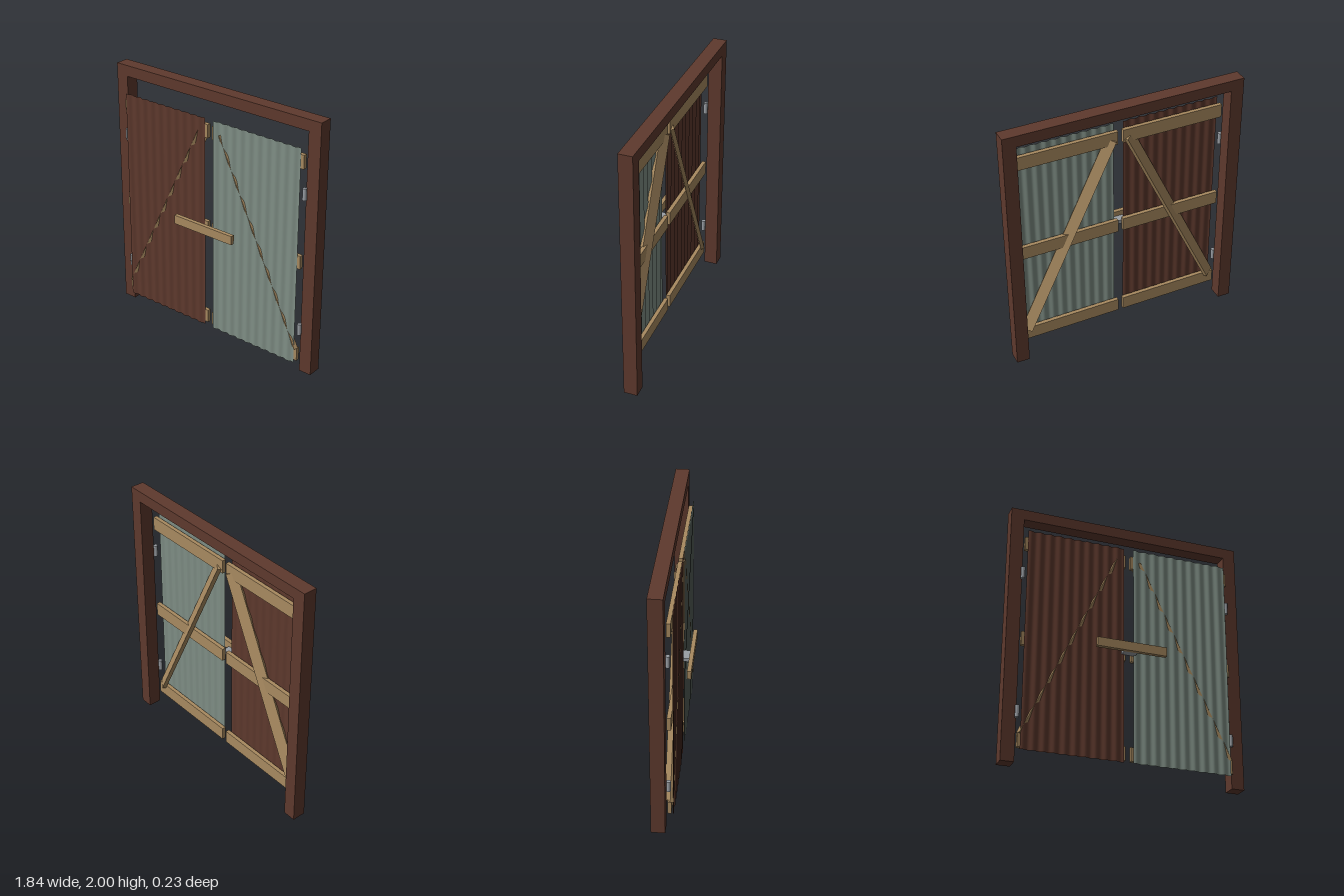
import * as THREE from 'three';

export function createModel() {
  const root = new THREE.Group();
  const mat = (name, color, side = THREE.FrontSide) => {
    const m = new THREE.MeshStandardMaterial({ color, side });
    m.name = name;
    return m;
  };
  const brown = mat('dark brown timber', 0x5e392d);
  const brownSheet = mat('brown painted sheet', 0x5e392d, THREE.DoubleSide);
  const greenSheet = mat('grey green sheet', 0x7f8e85, THREE.DoubleSide);
  const wood = mat('bare wood', 0xa88a60);
  const metal = mat('grey metal', 0x9a9fa5);

  const add = (parent, name, geo, material) => {
    const mesh = new THREE.Mesh(geo, material);
    mesh.name = name;
    parent.add(mesh);
    return mesh;
  };
  // Box given by its lower and upper limits on each axis
  const box = (parent, name, material, [x0, x1], [y0, y1], [z0, z1]) => {
    const mesh = add(parent, name, new THREE.BoxGeometry(x1 - x0, y1 - y0, z1 - z0), material);
    mesh.position.set((x0 + x1) / 2, (y0 + y1) / 2, (z0 + z1) / 2);
    return mesh;
  };

  // Door frame: two posts and a lintel
  const frameZ = [-0.115, -0.01];
  box(root, 'rightPost', brown, [-0.92, -0.82], [0, 1.915], frameZ);
  box(root, 'leftPost', brown, [0.82, 0.92], [0, 1.915], frameZ);
  box(root, 'lintel', brown, [-0.92, 0.92], [1.915, 2], frameZ);

  // Wavy sheet with ten vertical ridges
  const corrugated = (width, height, waves) => {
    const geo = new THREE.PlaneGeometry(width, height, waves * 8, 1);
    const p = geo.attributes.position;
    for (let i = 0; i < p.count; i++) {
      const u = p.getX(i) / width + 0.5;
      p.setZ(i, 0.006 * Math.sin(u * waves * Math.PI * 2));
    }
    geo.computeVertexNormals();
    return geo;
  };

  // One leaf on each side: sheet, three rails, tilted diagonal brace, hinges
  const makeLeaf = (s, name, sheetMaterial) => {
    const leaf = new THREE.Group();
    leaf.name = name;
    root.add(leaf);
    const span = (a, b) => (s > 0 ? [a, b] : [-b, -a]);

    const sheet = add(leaf, 'corrugatedSheet', corrugated(0.76, 1.72, 10), sheetMaterial);
    sheet.position.set(s * 0.417, 0.94, 0.0355);

    for (const y of [0.1, 0.87, 1.645]) {
      box(leaf, 'rail', wood, span(0.02, 0.815), [y, y + 0.105], [-0.005, 0.025]);
    }

    // Brace runs from the inner top to the outer bottom, rolled about its length
    const from = new THREE.Vector3(s * 0.07, 1.69, 0.006);
    const to = new THREE.Vector3(s * 0.78, 0.19, 0.006);
    const along = to.clone().sub(from);
    const length = along.length();
    along.normalize();
    const roll = 0.57;
    const outward = new THREE.Vector3(-s * along.y, s * along.x, 0).multiplyScalar(s);
    outward.set(s * Math.abs(along.y), Math.abs(along.x), 0);
    const wide = outward.multiplyScalar(Math.cos(roll));
    wide.z = Math.sin(roll);
    const thick = new THREE.Vector3().crossVectors(wide, along);
    const brace = add(leaf, 'diagonalBrace', new THREE.BoxGeometry(0.085, length, 0.03), wood);
    brace.quaternion.setFromRotationMatrix(new THREE.Matrix4().makeBasis(wide, along, thick));
    brace.position.copy(from).add(to).multiplyScalar(0.5);

    for (const y of [0.365, 1.455]) {
      const hinge = add(leaf, 'hinge', new THREE.CylinderGeometry(0.016, 0.016, 0.09, 12), metal);
      hinge.position.set(s * 0.818, y, 0.006);
    }
  };
  makeLeaf(-1, 'rightLeaf', brownSheet);
  makeLeaf(1, 'leftLeaf', greenSheet);

  // Locking bar on its metal bracket
  box(root, 'barBracket', metal, [-0.055, 0.05], [0.915, 0.945], [0.025, 0.085]);
  box(root, 'lockingBar', wood, [-0.27, 0.27], [0.915, 0.985], [0.084, 0.115]);

  return root;
}
